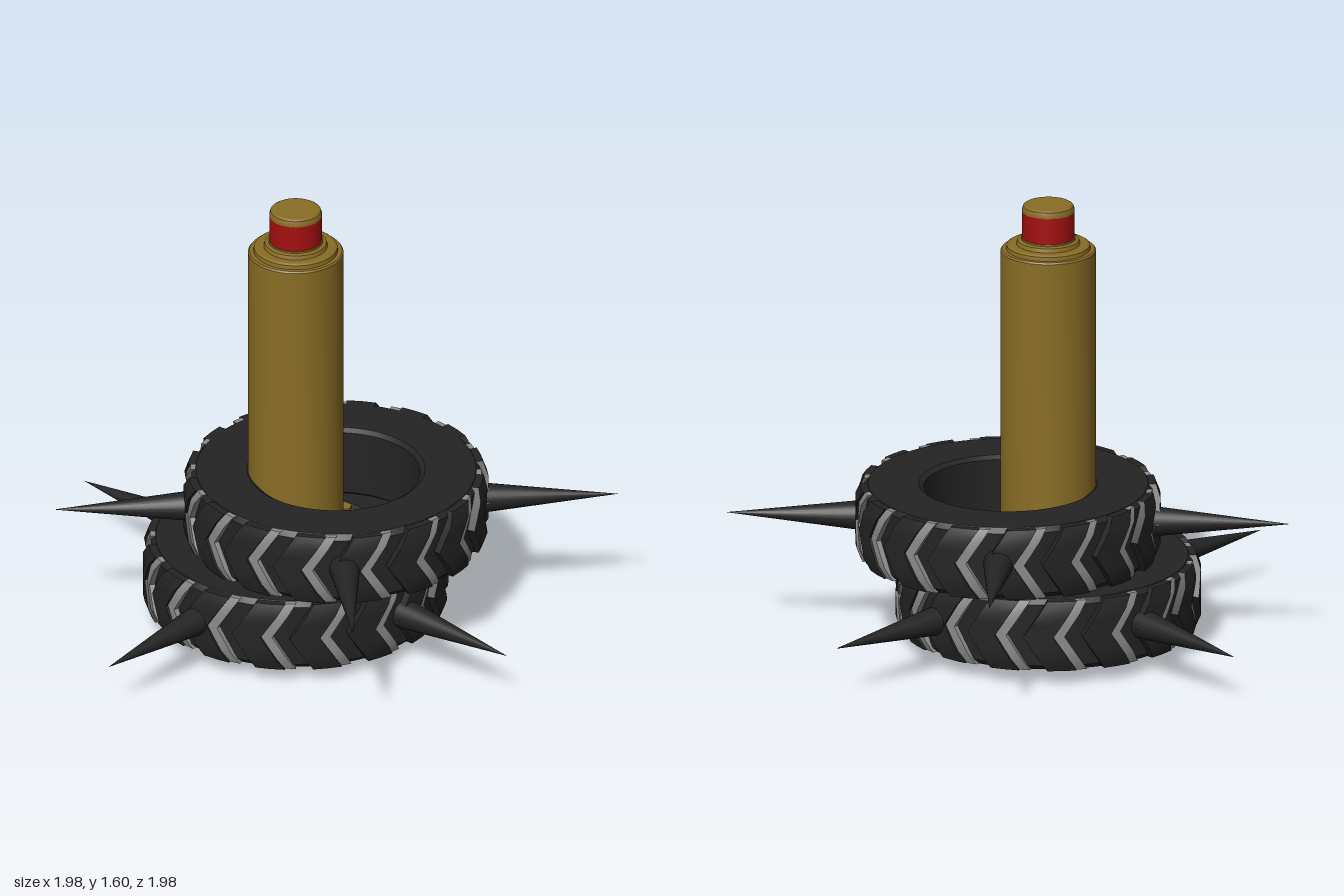
import * as THREE from 'three';
import { mergeGeometries, toCreasedNormals } from 'three/addons/utils/BufferGeometryUtils.js';

const mat = (name, color) => {
  const m = new THREE.MeshStandardMaterial({ color });
  m.name = name;
  return m;
};

export function createModel() {
  const gold = mat('dull gold', 0x8a6d25);
  const red = mat('red', 0xa50f0f);
  const black = mat('rubber black', 0x242424);
  const grey = mat('worn grey', 0x8c8c8c);
  const root = new THREE.Group();
  root.name = 'spikedTyrePost';

  const add = (parent, name, geo, material, x = 0, y = 0, z = 0) => {
    const m = new THREE.Mesh(geo, material);
    m.name = name;
    m.position.set(x, y, z);
    parent.add(m);
    return m;
  };
  const lathe = (pts, segs = 48) => toCreasedNormals(
    new THREE.LatheGeometry(pts.map(([r, y]) => new THREE.Vector2(r, y)), segs), 0.5);

  // V-shaped tread bars wrapped round the tyre, pointing one way
  const COUNT = 16, HALF = 0.128;
  const treadBars = (offset, width, outer) => {
    const bars = [];
    for (let i = 0; i < COUNT; i++) {
      const g = new THREE.BoxGeometry(width, 2, 1, 2, 6, 1);
      const p = g.attributes.position;
      const start = offset + (i / COUNT) * Math.PI * 2;
      for (let k = 0; k < p.count; k++) {
        const v = p.getY(k);
        const a = start + p.getX(k) + 0.16 * Math.abs(v);
        const r = p.getZ(k) > 0 ? outer - (Math.abs(v) > 0.9 ? 0.016 : 0) : 0.48;
        p.setXYZ(k, r * Math.sin(a), v * HALF, r * Math.cos(a));
      }
      bars.push(g);
    }
    return toCreasedNormals(mergeGeometries(bars), 0.5);
  };
  const lugGeo = treadBars(0, 0.2, 0.535);
  const stripGeo = treadBars(0.137, 0.075, 0.526);

  // Tyre carcass with a shallow lip round the hole
  const carcassGeo = lathe([
    [0.295, -0.118], [0.312, -0.13], [0.49, -0.13], [0.507, -0.112],
    [0.507, 0.112], [0.49, 0.13], [0.312, 0.13], [0.295, 0.118], [0.295, -0.118],
  ], 64);
  const spikeGeo = new THREE.ConeGeometry(0.06, 0.54, 24);
  spikeGeo.rotateX(Math.PI / 2);
  spikeGeo.translate(0, 0, 0.72);

  const makeTyre = (name, x, y, z, turn) => {
    const tyre = new THREE.Group();
    tyre.name = name;
    tyre.position.set(x, y, z);
    add(tyre, 'carcass', carcassGeo, black);
    add(tyre, 'treadLugs', lugGeo, black);
    add(tyre, 'treadStrips', stripGeo, grey);
    for (let i = 0; i < 4; i++) {
      add(tyre, 'spike', spikeGeo, black).rotation.y = turn + (i * Math.PI) / 2;
    }
    root.add(tyre);
  };
  makeTyre('lowerTyre', 0, 0.18, 0, 0);
  makeTyre('upperTyre', 0.1, 0.44, 0.1, Math.PI / 4);

  // Octagonal foot with a thin disc beneath
  add(root, 'foot', toCreasedNormals(new THREE.CylinderGeometry(0.335, 0.335, 0.06, 8), 0.3), gold, 0, 0.031, 0);
  add(root, 'footDisc', new THREE.CylinderGeometry(0.22, 0.22, 0.004, 40), gold, 0, 0.002, 0);

  // Hub with a stepped flange, ringed by bolts
  add(root, 'hub', lathe([
    [0.29, 0.05], [0.29, 0.305], [0.282, 0.313], [0.215, 0.313],
    [0.205, 0.325], [0.185, 0.325], [0.178, 0.335], [0.12, 0.335],
  ]), gold);
  const boltGeo = toCreasedNormals(new THREE.CylinderGeometry(0.032, 0.032, 0.02, 6), 0.5);
  for (let i = 0; i < 8; i++) {
    const a = (i * Math.PI) / 4;
    add(root, 'bolt', boltGeo, gold, 0.25 * Math.sin(a), 0.32, 0.25 * Math.cos(a));
  }

  // Post with a stepped shoulder and neck
  add(root, 'post', lathe([
    [0.167, 0.3], [0.167, 1.435], [0.162, 1.441], [0.148, 1.441], [0.146, 1.455],
    [0.138, 1.46], [0.112, 1.46], [0.108, 1.474], [0.096, 1.478], [0.096, 1.484], [0, 1.484],
  ]), gold);
  add(root, 'redBand', new THREE.CylinderGeometry(0.092, 0.092, 0.1, 40, 1, true), red, 0, 1.53, 0);
  add(root, 'cap', lathe([
    [0.092, 1.578], [0.092, 1.588], [0.088, 1.599], [0.08, 1.604], [0, 1.604],
  ]), gold);

  return root;
}
